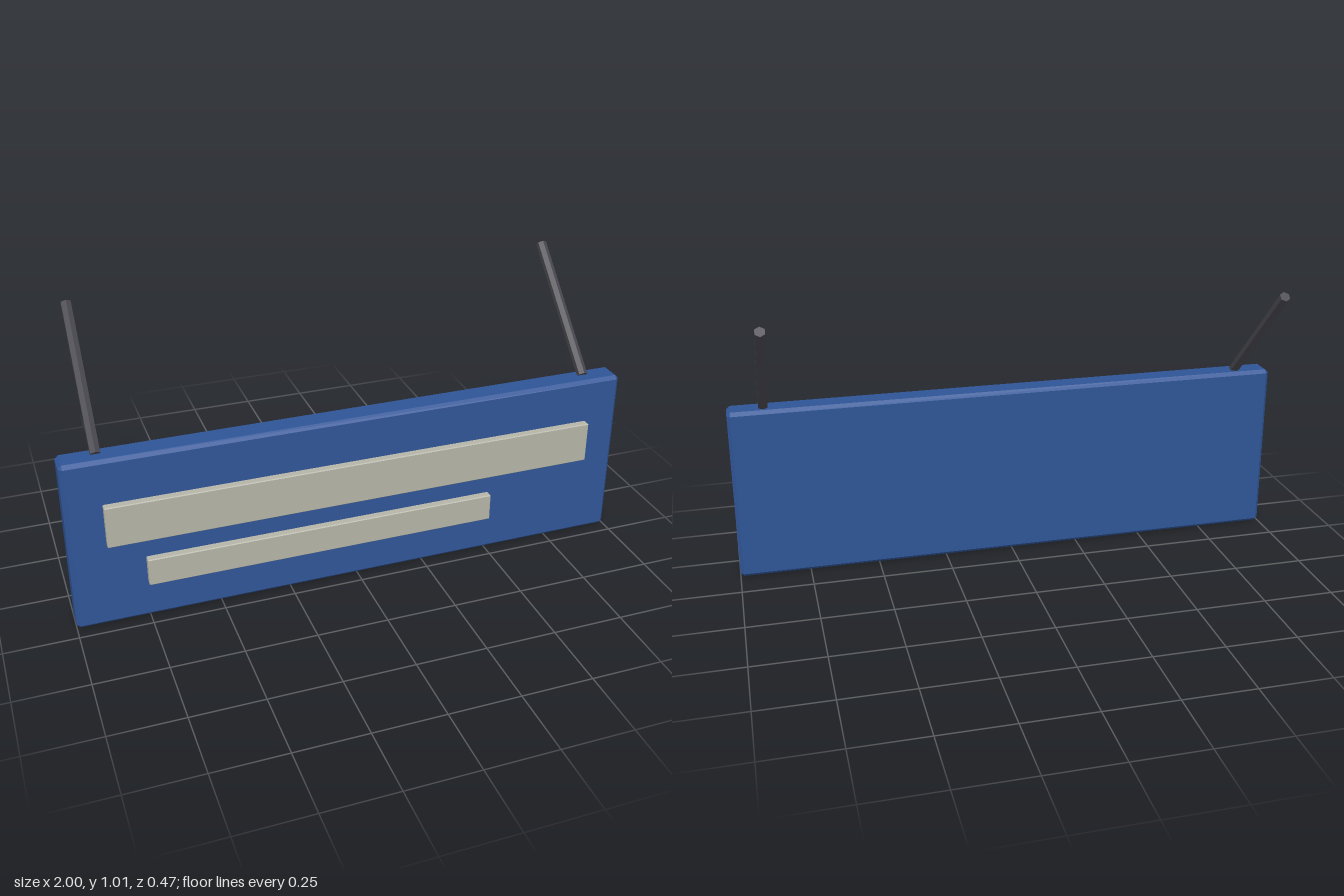
import * as THREE from 'three';
import { ConvexGeometry } from 'three/addons/geometries/ConvexGeometry.js';

// Box with every edge cut by a flat chamfer of size c
function chamferBox(w, h, d, c) {
  const points = [];
  for (const x of [-w / 2, w / 2]) for (const y of [-h / 2, h / 2]) for (const z of [-d / 2, d / 2]) {
    const ix = x - Math.sign(x) * c, iy = y - Math.sign(y) * c, iz = z - Math.sign(z) * c;
    points.push(
      new THREE.Vector3(x, iy, iz),
      new THREE.Vector3(ix, y, iz),
      new THREE.Vector3(ix, iy, z)
    );
  }
  return new ConvexGeometry(points);
}

export function createModel() {
  const model = new THREE.Group();
  const blue = new THREE.MeshStandardMaterial({ color: 0x2f5597, flatShading: true });
  const pale = new THREE.MeshStandardMaterial({ color: 0xb5b5a8, flatShading: true });
  const dark = new THREE.MeshStandardMaterial({ color: 0x4a4850, flatShading: true });

  const add = (name, geometry, material, x, y, z) => {
    const mesh = new THREE.Mesh(geometry, material);
    mesh.name = name;
    mesh.position.set(x, y, z);
    model.add(mesh);
    return mesh;
  };

  // Sign board
  add('board', chamferBox(2, 0.625, 0.096, 0.0125), blue, 0, 0.3125, 0.158);

  // Raised strips on the front, sunk a little into the board
  add('upperStrip', chamferBox(1.75, 0.15, 0.05, 0.003), pale, 0, 0.39, 0.208);
  add('lowerStrip', chamferBox(1.25, 0.1, 0.05, 0.003), pale, -0.125, 0.19, 0.208);

  // Six-sided hanging rods, leaning back from the top edge
  const foot = new THREE.Vector2(0.155, 0.626);
  const tip = new THREE.Vector2(-0.219, 1.0);
  const rod = new THREE.CylinderGeometry(0.0187, 0.0187, foot.distanceTo(tip), 6);
  for (const [name, side] of [['leftRod', 1], ['rightRod', -1]]) {
    const mesh = add(name, rod, dark, side * 0.875, (foot.y + tip.y) / 2, (foot.x + tip.x) / 2);
    mesh.rotation.x = Math.atan2(tip.x - foot.x, tip.y - foot.y);
  }

  return model;
}
